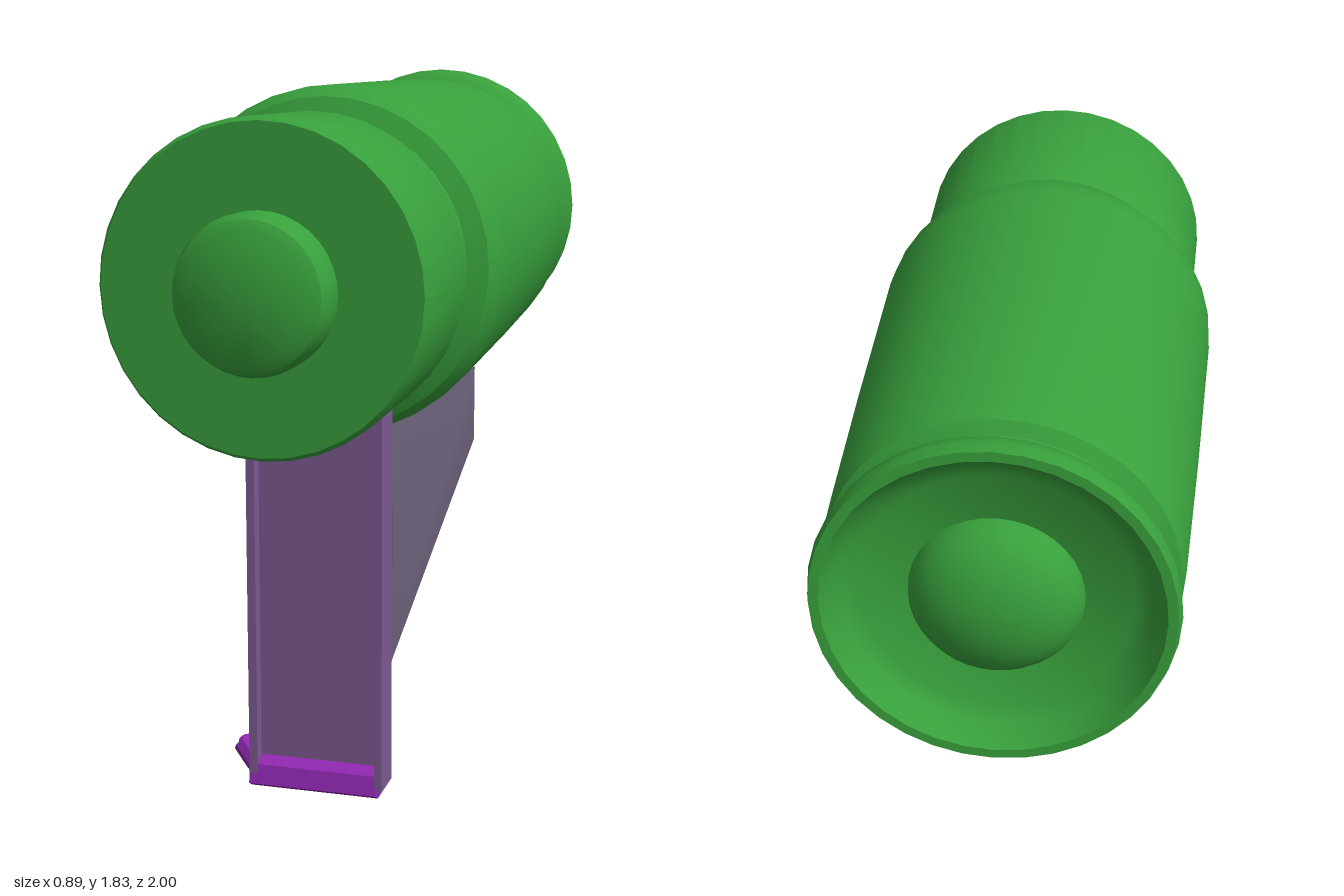
import * as THREE from 'three';
import { toCreasedNormals } from 'three/addons/utils/BufferGeometryUtils.js';

const material = (color) => new THREE.MeshStandardMaterial({ color, side: THREE.DoubleSide });
const GREEN = material(0x38a03c);
const MAUVE = material(0x7d5a92);
const SLATE = material(0x70647e);
const PURPLE = material(0x9229b4);

function part(name, geometry, mat, crease = 0.6) {
  const mesh = new THREE.Mesh(toCreasedNormals(geometry, crease), mat);
  mesh.name = name;
  return mesh;
}

// Turned part along z; profile is [radius, z] from front to back.
function turned(name, profile, mat) {
  const g = new THREE.LatheGeometry(profile.map(([r, z]) => new THREE.Vector2(r, -z)), 36);
  g.rotateX(-Math.PI / 2);
  const p = g.attributes.position;
  for (let i = 0; i < p.count; i++) {
    const z = p.getZ(i);
    // The axis rises slightly towards the back, and the rear rim leans.
    const rise = z > 0.4 ? 0 : z > -0.76 ? (0.4 - z) * 0.016 : 0.019 + (-0.76 - z) * 0.15;
    if (z < -0.84) p.setZ(i, z + p.getY(i) * 0.07);
    p.setY(i, p.getY(i) + 1.367 + rise);
  }
  g.computeVertexNormals();
  return part(name, g, mat);
}

function box(name, x0, x1, y0, y1, z0, z1, mat) {
  const g = new THREE.BoxGeometry(x1 - x0, y1 - y0, z1 - z0);
  g.translate((x0 + x1) / 2, (y0 + y1) / 2, (z0 + z1) / 2);
  return part(name, g, mat);
}

// Thin sheet from a convex outline of 3D corners, given as a fan.
function sheet(name, corners, mat) {
  const g = new THREE.BufferGeometry();
  g.setAttribute('position', new THREE.Float32BufferAttribute(corners.flat(), 3));
  const index = [];
  for (let i = 1; i < corners.length - 1; i++) index.push(0, i, i + 1);
  g.setIndex(index);
  g.computeVertexNormals();
  return part(name, g, mat);
}

export function createModel() {
  const model = new THREE.Group();
  model.name = 'cylinderOnStand';

  // Main barrel with a stepped front, grooved rim and hollow back
  model.add(turned('barrel', [
    [0, 0.89], [0.385, 0.89], [0.395, 0.875], [0.39, 0.49], [0.38, 0.465],
    [0.36, 0.455], [0.37, 0.385], [0.42, 0.365], [0.443, 0.32], [0.445, 0.26],
    [0.432, -0.3], [0.418, -0.745], [0.408, -0.772], [0.375, -0.79], [0.365, -0.825],
    [0.385, -0.865], [0.412, -0.9], [0.416, -0.935], [0.408, -0.968],
    [0.385, -0.968], [0.35, -0.91], [0.31, -0.885], [0, -0.885],
  ], GREEN));

  // Front knob
  model.add(turned('frontKnob', [
    [0, 0.998], [0.15, 0.995], [0.175, 0.98], [0.186, 0.95], [0.186, 0.88],
  ], GREEN));

  // Rear dome inside the hollow
  const dome = [];
  for (let i = 0; i <= 7; i++) {
    const a = (i / 7) * Math.PI / 2;
    dome.push([0.2 * Math.cos(a), -0.88 - 0.12 * Math.sin(a)]);
  }
  model.add(turned('rearDome', dome, GREEN));

  // Front leg: a web between two side rails
  const frontLeg = new THREE.Group();
  frontLeg.name = 'frontLeg';
  frontLeg.add(
    box('legWeb', -0.145, 0.18, 0.06, 1.1, 0.48, 0.505, MAUVE),
    box('legRailRight', -0.16, -0.138, 0.04, 1.1, 0.44, 0.54, MAUVE),
    box('legRailLeft', 0.175, 0.195, 0.04, 1.1, 0.44, 0.54, MAUVE),
  );
  model.add(frontLeg);

  // Foot: a lip across the bottom with a small hook on one side
  const foot = new THREE.Group();
  foot.name = 'foot';
  const lip = new THREE.Shape([
    [0.545, 0.03], [0.535, 0.08], [0.5, 0.1], [0.45, 0.09], [0.435, 0.05], [0.47, 0.015], [0.52, 0.015],
  ].map(([z, y]) => new THREE.Vector2(-z, y)));
  const lipGeometry = new THREE.ExtrudeGeometry(lip, { depth: 0.34, bevelEnabled: false });
  lipGeometry.rotateY(Math.PI / 2);
  lipGeometry.translate(-0.16, 0, 0);
  foot.add(part('footLip', lipGeometry, PURPLE));
  const hook = new THREE.TubeGeometry(new THREE.CatmullRomCurve3([
    new THREE.Vector3(-0.1, 0.035, 0.48),
    new THREE.Vector3(-0.15, 0.035, 0.45),
    new THREE.Vector3(-0.185, 0.06, 0.43),
    new THREE.Vector3(-0.215, 0.09, 0.415),
  ]), 8, 0.033, 8);
  foot.add(part('footHook', hook, PURPLE));
  const hookTip = new THREE.SphereGeometry(0.033, 8, 6);
  hookTip.scale(0.7, 0.7, 1);
  hookTip.translate(-0.21, 0.085, 0.417);
  foot.add(part('footHookTip', hookTip, PURPLE));
  model.add(foot);

  // Rear leg: wedge of thin sheets, wider at the back, ending in a tail fin
  const rearLeg = new THREE.Group();
  rearLeg.name = 'rearLeg';
  const side = (front, back) => [
    [front, 0.3, 0.265], [front, 1.02, 0.265], [back, 1.02, -0.21], [back, 0.81, -0.21],
    [front, 0.34, 0.16],
  ];
  rearLeg.add(
    sheet('rearLegLeftSide', side(0.15, 0.265), SLATE),
    sheet('rearLegRightSide', side(-0.15, -0.17), SLATE),
    sheet('rearLegFront', [[-0.15, 0.3, 0.265], [0.15, 0.3, 0.265], [0.15, 1.02, 0.265], [-0.15, 1.02, 0.265]], SLATE),
    sheet('rearLegFloor', [[-0.15, 0.34, 0.16], [0.15, 0.34, 0.16], [0.265, 0.81, -0.21], [-0.17, 0.81, -0.21]], SLATE),
    sheet('tailSlope', [[-0.17, 0.81, -0.21], [0.265, 0.81, -0.21], [0.14, 0.832, -0.31], [-0.1, 0.832, -0.31]], SLATE),
    sheet('tailFin', [[-0.1, 0.832, -0.31], [0.14, 0.832, -0.31], [0.04, 0.822, -0.43], [0, 0.822, -0.43]], SLATE),
  );
  const tip = new THREE.CylinderGeometry(0.032, 0.032, 0.27, 8);
  tip.rotateZ(Math.PI / 2);
  tip.translate(0, 0.305, 0.237);
  rearLeg.add(part('rearLegTip', tip, MAUVE));
  model.add(rearLeg);

  return model;
}
